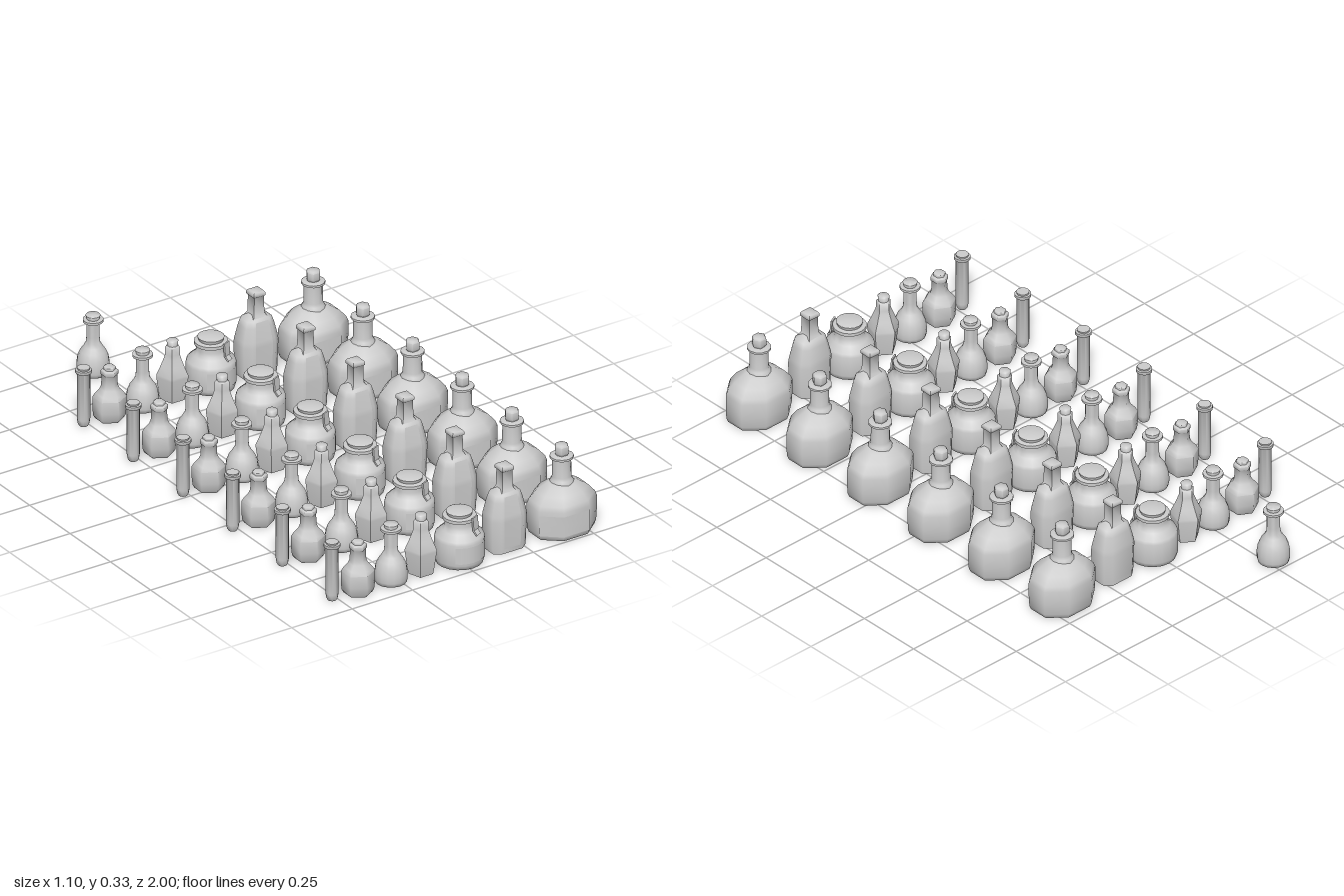
import * as THREE from 'three';
import { toCreasedNormals } from 'three/addons/utils/BufferGeometryUtils.js';

const grey = new THREE.MeshStandardMaterial({ color: 0xcccccc });
const greyThin = new THREE.MeshStandardMaterial({ color: 0xcccccc, side: THREE.DoubleSide });

// Turned part from [radius, height] pairs, listed bottom to top
function turned(name, profile, sides, start = 0, sweep = Math.PI * 2) {
  const points = profile.map(([r, y]) => new THREE.Vector2(r, y));
  const part = sweep < 6;
  const geo = new THREE.LatheGeometry(points, sides, start, sweep);
  const mesh = new THREE.Mesh(part ? geo : toCreasedNormals(geo, 1.1), part ? greyThin : grey);
  mesh.name = name;
  return mesh;
}

// Turned eight-sided part reshaped to a rectangle with cut corners:
// hx, hz are the half sizes, fx, fz the half lengths of the flat sides
function cutCorner(name, profile, hx, hz, fx, fz, sides = 8, start = Math.PI / 8, sweep = Math.PI * 2) {
  const mesh = turned(name, profile, sides, start, sweep);
  const p = mesh.geometry.attributes.position;
  for (let i = 0; i < p.count; i++) {
    const x = p.getX(i), z = p.getZ(i), r = Math.hypot(x, z);
    const alongX = Math.abs(x) > Math.abs(z);
    p.setX(i, Math.sign(x) * r * (alongX ? hx : fx));
    p.setZ(i, Math.sign(z) * r * (alongX ? fz : hz));
  }
  if (sweep < 6) mesh.geometry.computeVertexNormals();
  else mesh.geometry = toCreasedNormals(mesh.geometry, 1.1);
  return mesh;
}

function bottle(name, x, ...parts) {
  const group = new THREE.Group();
  group.name = name;
  group.position.x = x;
  group.add(...parts);
  return group;
}

function vial() {
  return bottle('vial', -0.52,
    turned('vialBody', [[0, 0.004], [0.016, 0.004], [0.02, 0.012], [0.023, 0.03], [0.023, 0.207],
      [0.029, 0.21], [0.029, 0.221], [0.023, 0.222], [0, 0.222]], 12),
    turned('vialStopper', [[0.02, 0.215], [0.023, 0.229], [0, 0.229]], 12));
}

function hexFlask() {
  return bottle('hexFlask', -0.413,
    turned('hexBody', [[0, 0.008], [0.042, 0.008], [0.05, 0.002], [0.056, 0.012], [0.059, 0.04], [0.059, 0.085],
      [0.05, 0.1], [0.034, 0.118], [0.029, 0.13], [0.027, 0.17], [0.031, 0.173], [0.031, 0.187],
      [0.026, 0.191], [0, 0.191]], 6),
    turned('hexStopper', [[0.02, 0.18], [0.022, 0.2], [0.018, 0.203], [0, 0.203]], 6));
}

function roundFlask() {
  return bottle('roundFlask', -0.276,
    turned('roundBody', [[0, 0.014], [0.04, 0.014], [0.048, 0.002], [0.055, 0.006], [0.058, 0.02], [0.058, 0.042],
      [0.054, 0.068], [0.045, 0.09], [0.033, 0.107], [0.025, 0.122], [0.023, 0.145], [0.023, 0.2],
      [0.036, 0.202], [0.036, 0.211], [0.026, 0.212], [0, 0.212]], 16),
    turned('roundStopper', [[0.02, 0.205], [0.026, 0.226], [0.023, 0.229], [0, 0.229]], 16));
}

function pentagonBottle() {
  return bottle('pentagonBottle', -0.152,
    turned('pentagonBody', [[0, 0.01], [0.038, 0.01], [0.044, 0.002], [0.048, 0.02], [0.058, 0.09], [0.058, 0.1],
      [0.042, 0.135], [0.032, 0.16], [0.027, 0.175], [0.027, 0.204], [0.022, 0.208], [0, 0.208]], 5, Math.PI),
    turned('pentagonStopper', [[0.018, 0.2], [0.021, 0.226], [0.018, 0.229], [0, 0.229]], 10));
}

function jar() {
  const label = turned('jarLabel', [[0.0895, 0.03], [0.0895, 0.092]], 6, -0.74, 1.5);
  // Ribbon end hanging from the neck over the shoulder
  const ribbon = new THREE.Group();
  ribbon.name = 'jarRibbon';
  ribbon.rotation.y = 0.45;
  const upper = new THREE.Mesh(new THREE.BoxGeometry(0.032, 0.05, 0.006), grey);
  upper.name = 'ribbonTop';
  upper.position.set(0, 0.162, 0.063);
  upper.rotation.x = -0.08;
  const lower = new THREE.Mesh(new THREE.BoxGeometry(0.024, 0.022, 0.006), grey);
  lower.name = 'ribbonTail';
  lower.position.set(-0.003, 0.131, 0.071);
  lower.rotation.x = -0.7;
  ribbon.add(upper, lower);
  return bottle('jar', 0.007,
    turned('jarBody', [[0, 0.02], [0.062, 0.02], [0.072, 0.002], [0.083, 0.005], [0.088, 0.022], [0.088, 0.098],
      [0.084, 0.11], [0.062, 0.13], [0.054, 0.14], [0.051, 0.152], [0.051, 0.166], [0.059, 0.169],
      [0.059, 0.181], [0.05, 0.184], [0, 0.184]], 18),
    turned('jarLid', [[0.042, 0.18], [0.047, 0.196], [0.04, 0.199], [0, 0.2]], 18),
    label, ribbon);
}

function squareBottle() {
  return bottle('squareBottle', 0.193,
    cutCorner('squareBody', [[0, 0.008], [0.85, 0.008], [0.93, 0.002], [0.95, 0.02], [1, 0.125], [0.96, 0.145],
      [0.8, 0.195], [0.7, 0.218], [0.45, 0.228], [0.3, 0.235], [0, 0.235]], 0.072, 0.052, 0.047, 0.032),
    cutCorner('squareLabel', [[0.94, 0.02], [0.95, 0.03], [1, 0.125], [0.96, 0.145], [0.8, 0.195], [0.72, 0.214]],
      0.072, 0.0545, 0.035, 0.032, 1, -Math.PI / 8, Math.PI / 4),
    turned('squareNeck', [[0.042, 0.222], [0.03, 0.237], [0.028, 0.3], [0.034, 0.304], [0.034, 0.315],
      [0.028, 0.321], [0, 0.321]], 4, Math.PI / 4));
}

function bigBottle() {
  return bottle('bigBottle', 0.43,
    cutCorner('bigBody', [[0, 0.025], [0.7, 0.025], [0.82, 0.002], [0.93, 0.004], [0.98, 0.02], [1, 0.06], [1, 0.115],
      [0.94, 0.133], [0.75, 0.16], [0.5, 0.181], [0.36, 0.19], [0, 0.19]], 0.119, 0.095, 0.053, 0.04),
    cutCorner('bigLabel', [[1, 0.022], [1.012, 0.06], [1.012, 0.1]], 0.119, 0.095, 0.053, 0.04,
      2, -Math.PI * 3 / 8, Math.PI / 2),
    turned('bigNeck', [[0.044, 0.18], [0.042, 0.192], [0.037, 0.198], [0.034, 0.21], [0.033, 0.275], [0.042, 0.279],
      [0.042, 0.287], [0.034, 0.29], [0, 0.29]], 12),
    turned('bigStopper', [[0.021, 0.28], [0.022, 0.292], [0.026, 0.297], [0.026, 0.323], [0.021, 0.33], [0, 0.33]],
      6, Math.PI / 2));
}

export function createModel() {
  const model = new THREE.Group();
  model.name = 'bottleCollection';

  const row = new THREE.Group();
  row.add(vial(), hexFlask(), roundFlask(), pentagonBottle(), jar(), squareBottle(), bigBottle());

  // Six equal rows from front to back
  for (let i = 0; i < 6; i++) {
    const copy = row.clone();
    copy.name = 'row' + (i + 1);
    copy.position.z = 0.905 - 0.308 * i;
    model.add(copy);
  }

  // One more round flask behind the last row
  const spare = roundFlask();
  spare.name = 'spareFlask';
  spare.position.z = -0.942;
  model.add(spare);
  return model;
}
